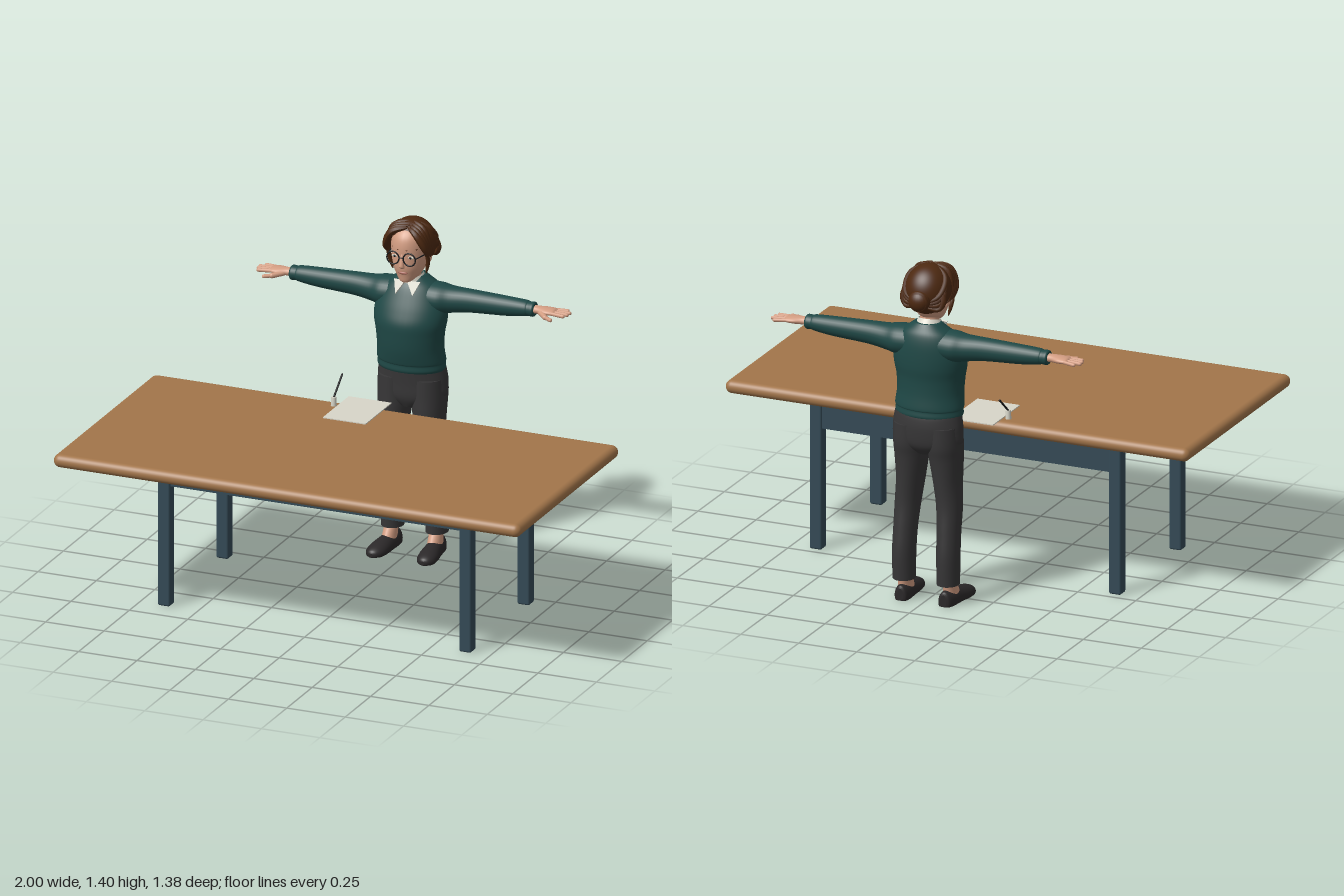
import * as THREE from 'three';
import { RoundedBoxGeometry } from 'three/addons/geometries/RoundedBoxGeometry.js';

const mat = (name, color) => {
  const m = new THREE.MeshStandardMaterial({ color, side: THREE.DoubleSide });
  m.name = name;
  return m;
};
const M = {
  wood: mat('wood', 0xa2754a), slate: mat('slate', 0x344a56), sweater: mat('sweater', 0x1f4846),
  trousers: mat('trousers', 0x373637), skin: mat('skin', 0xd39d82), hair: mat('hair', 0x4d2911),
  white: mat('offWhite', 0xd8d6c9), shoe: mat('shoeLeather', 0x2b2829), black: mat('black', 0x18191b),
  lips: mat('lips', 0xa9675a),
};

function add(group, name, geo, material, x = 0, y = 0, z = 0) {
  const m = new THREE.Mesh(geo, material);
  m.name = name;
  m.position.set(x, y, z);
  group.add(m);
  return m;
}

// Smooth skin through elliptical sections [t, centreA, centreB, radiusA, radiusB]
// along axis 0 = x (A y, B z), 1 = y (A z, B x) or 2 = z (A x, B y)
function loft(axis, sections, sides = 28, steps = 5) {
  const rings = [], last = sections.length - 1;
  for (let i = 0; i < last; i++) {
    const p = [i - 1, i, i + 1, i + 2].map(k => sections[Math.min(last, Math.max(0, k))]);
    for (let s = 0; s < steps; s++) {
      const u = s / steps;
      rings.push(p[1].map((b, k) => {
        const a = p[0][k], c = p[2][k], d = p[3][k];
        return b + 0.5 * u * (c - a + u * (2 * a - 5 * b + 4 * c - d + u * (3 * (b - c) + d - a)));
      }));
    }
  }
  rings.push(sections[last]);
  const pos = [], index = [], A = (axis + 1) % 3, B = (axis + 2) % 3;
  const flip = sections[last][0] < sections[0][0];
  const tri = (a, b, c) => (flip ? index.push(a, c, b) : index.push(a, b, c));
  const vertex = (t, a, b) => {
    const v = [];
    v[axis] = t; v[A] = a; v[B] = b;
    pos.push(...v);
  };
  const ring = ([t, a, b, ra, rb]) => {
    for (let j = 0; j < sides; j++) {
      const w = (j / sides) * Math.PI * 2;
      vertex(t, a + ra * Math.cos(w), b + rb * Math.sin(w));
    }
  };
  rings.forEach(ring);
  for (let i = 0; i < rings.length - 1; i++) for (let j = 0; j < sides; j++) {
    const a = i * sides + j, b = i * sides + (j + 1) % sides;
    tri(a, b, b + sides);
    tri(a, b + sides, a + sides);
  }
  // End caps with their own vertices, so that the rims stay sharp
  [rings[0], rings[rings.length - 1]].forEach((r, end) => {
    const base = pos.length / 3;
    ring(r);
    vertex(r[0], r[1], r[2]);
    for (let j = 0; j < sides; j++) {
      const a = base + j, b = base + (j + 1) % sides;
      end ? tri(a, b, base + sides) : tri(b, a, base + sides);
    }
  });
  const g = new THREE.BufferGeometry();
  g.setAttribute('position', new THREE.Float32BufferAttribute(pos, 3));
  g.setIndex(index);
  g.computeVertexNormals();
  return g;
}

const V = p => new THREE.Vector3(...p);
const ball = (rx, ry, rz) => new THREE.SphereGeometry(1, 24, 16).scale(rx, ry, rz);

// Round-ended rod between two points
function rod(group, name, from, to, r, material) {
  const a = V(from), b = V(to), d = b.clone().sub(a);
  const m = add(group, name, new THREE.CapsuleGeometry(r, d.length(), 4, 10), material);
  m.position.copy(a).add(b).multiplyScalar(0.5);
  m.quaternion.setFromUnitVectors(new THREE.Vector3(0, 1, 0), d.normalize());
}

// Lock of hair: a tube that tapers towards both ends
function strand(group, points, r) {
  const curve = new THREE.CatmullRomCurve3(points.map(V)), n = 16, k = 8;
  const g = new THREE.TubeGeometry(curve, n, r, k), p = g.attributes.position, v = new THREE.Vector3();
  for (let i = 0; i < p.count; i++) {
    const u = Math.floor(i / (k + 1)) / n, c = curve.getPointAt(u);
    v.fromBufferAttribute(p, i).sub(c).multiplyScalar(0.12 + 0.88 * Math.sin(Math.PI * u) ** 0.6).add(c);
    p.setXYZ(i, v.x, v.y, v.z);
  }
  g.computeVertexNormals();
  add(group, 'hairLock', g, M.hair);
}

function makeTable() {
  const g = new THREE.Group();
  g.name = 'table';
  add(g, 'tableTop', new RoundedBoxGeometry(2, 0.055, 1, 4, 0.0274), M.wood, 0, 0.6525, 0.19);
  for (const z of [0.38, -0.195]) {
    for (const x of [-0.645, 0.645])
      add(g, 'tableLeg', new RoundedBoxGeometry(0.052, 0.63, 0.052, 2, 0.008), M.slate, x, 0.315, z);
    add(g, 'rail', new THREE.BoxGeometry(1.25, 0.1, 0.036), M.slate, 0, 0.555, z);
  }
  add(g, 'paper', new THREE.BoxGeometry(0.183, 0.004, 0.255), M.white, -0.093, 0.684, -0.2325);
  add(g, 'penHolder', new THREE.CylinderGeometry(0.01, 0.012, 0.037, 16), M.white, -0.203, 0.698, -0.255);
  rod(g, 'pen', [-0.203, 0.714, -0.255], [-0.203, 0.783, -0.338], 0.004, M.black);
  return g;
}

function makeHead() {
  const g = new THREE.Group();
  g.name = 'head';
  add(g, 'face', loft(1, [[1.148, -0.495, 0, 0.012, 0.012], [1.156, -0.502, 0, 0.026, 0.028],
    [1.18, -0.53, 0, 0.06, 0.05], [1.21, -0.54, 0, 0.078, 0.064], [1.25, -0.55, 0, 0.09, 0.074],
    [1.3, -0.555, 0, 0.096, 0.077], [1.34, -0.56, 0, 0.09, 0.073], [1.37, -0.56, 0, 0.06, 0.05],
    [1.385, -0.56, 0, 0.01, 0.01]]), M.skin);
  add(g, 'nose', loft(1, [[1.214, -0.461, 0, 0.004, 0.005], [1.22, -0.458, 0, 0.01, 0.012],
    [1.23, -0.456, 0, 0.01, 0.01], [1.265, -0.461, 0, 0.006, 0.006], [1.28, -0.465, 0, 0.004, 0.005]], 14), M.skin);
  add(g, 'lips', ball(0.02, 0.006, 0.006), M.lips, 0, 1.194, -0.467);
  add(g, 'neck', loft(1, [[1.1, -0.565, 0, 0.048, 0.05], [1.16, -0.555, 0, 0.039, 0.039],
    [1.22, -0.552, 0, 0.04, 0.042]]), M.skin);

  // Hair shell, with its opening tilted down over the face
  const shell = new THREE.SphereGeometry(1, 36, 24, 0, Math.PI * 2, 0, 1.79);
  add(g, 'hairShell', shell.rotateX(-Math.PI / 4).scale(0.094, 0.104, 0.1), M.hair, 0, 1.292, -0.563);
  add(g, 'bun', ball(0.045, 0.044, 0.036), M.hair, 0, 1.269, -0.654);
  add(g, 'bunCoil', new THREE.TorusGeometry(0.03, 0.013, 10, 24), M.hair, 0, 1.269, -0.664);

  for (const s of [-1, 1]) {
    add(g, 'eyeWhite', ball(0.013, 0.006, 0.005), M.white, s * 0.034, 1.262, -0.468);
    add(g, 'iris', ball(0.005, 0.0055, 0.003), M.black, s * 0.034, 1.262, -0.4645);
    rod(g, 'eyebrow', [s * 0.017, 1.291, -0.463], [s * 0.052, 1.293, -0.486], 0.0028, M.hair);
    add(g, 'ear', ball(0.008, 0.023, 0.015), M.skin, s * 0.077, 1.245, -0.555);
    // Spectacles
    add(g, 'glassesRim', new THREE.TorusGeometry(0.026, 0.0028, 8, 28), M.black, s * 0.035, 1.259, -0.451);
    rod(g, 'glassesTemple', [s * 0.061, 1.265, -0.452], [s * 0.081, 1.265, -0.555], 0.0025, M.black);
    // Swept fringe, loose side lock and waves towards the bun
    for (let i = 0; i < 4; i++) {
      const d = i * 0.017;
      strand(g, [[0.012, 1.378 + i * 0.004, -0.492 - d], [s * (0.05 + i * 0.004), 1.358 + i * 0.002, -0.476 - d],
        [s * 0.083, 1.3 - i * 0.003, -0.49 - d], [s * 0.087, 1.25, -0.525 - d]], 0.015);
      strand(g, [[s * 0.03, 1.388 - i * 0.014, -0.55 - d], [s * (0.074 + i * 0.004), 1.35 - i * 0.025, -0.575 - d * 0.8],
        [s * 0.07, 1.29 - i * 0.018, -0.625], [s * 0.02, 1.26 - i * 0.005, -0.65]], 0.014);
    }
    strand(g, [[s * 0.08, 1.29, -0.5], [s * 0.083, 1.24, -0.525], [s * 0.071, 1.18, -0.535]], 0.009);
  }
  rod(g, 'glassesBridge', [-0.009, 1.264, -0.446], [0.009, 1.264, -0.446], 0.0025, M.black);
  return g;
}

function makePerson() {
  const g = new THREE.Group();
  g.name = 'person';
  add(g, 'sweaterBody', loft(1, [[0.775, -0.557, 0, 0.094, 0.136], [0.785, -0.557, 0, 0.098, 0.141],
    [0.805, -0.556, 0, 0.097, 0.139], [0.815, -0.555, 0, 0.101, 0.142], [0.87, -0.546, 0, 0.105, 0.137],
    [0.93, -0.543, 0, 0.108, 0.141], [0.98, -0.546, 0, 0.111, 0.15], [1.03, -0.555, 0, 0.103, 0.15],
    [1.08, -0.565, 0, 0.09, 0.135], [1.12, -0.571, 0, 0.075, 0.11], [1.145, -0.573, 0, 0.058, 0.075],
    [1.16, -0.573, 0, 0.047, 0.055]], 40), M.sweater);

  // Shirt collar
  const band = add(g, 'collarBand', new THREE.CylinderGeometry(0.044, 0.064, 0.045, 32, 1, true), M.white, 0, 1.146, -0.56);
  band.rotation.x = 0.22;
  const lapel = s => new THREE.Shape([[0.002, 0.03], [0.056, 0.034], [0.036, -0.026]]
    .map(([x, y]) => new THREE.Vector2(s * x, y)));

  add(g, 'hips', loft(1, [[0.62, -0.562, 0, 0.06, 0.05], [0.66, -0.568, 0, 0.083, 0.138],
    [0.72, -0.57, 0, 0.088, 0.147], [0.77, -0.567, 0, 0.088, 0.141], [0.8, -0.562, 0, 0.086, 0.135]], 36), M.trousers);

  for (const s of [-1, 1]) {
    const flap = add(g, 'collarPoint', new THREE.ExtrudeGeometry(lapel(s), { depth: 0.006, bevelEnabled: false }),
      M.white, 0, 1.122, -0.489);
    flap.rotation.set(-0.55, s * 0.2, 0);

    // Arm
    add(g, 'sleeve', loft(0, [[0.06, 1.075, -0.571, 0.06, 0.07], [0.12, 1.072, -0.571, 0.062, 0.071],
      [0.17, 1.073, -0.572, 0.054, 0.056], [0.25, 1.078, -0.572, 0.047, 0.045], [0.4, 1.08, -0.572, 0.04, 0.038],
      [0.48, 1.083, -0.572, 0.033, 0.034], [0.495, 1.083, -0.572, 0.029, 0.031], [0.515, 1.083, -0.572, 0.03, 0.032],
      [0.522, 1.083, -0.572, 0.026, 0.028]].map(([x, ...r]) => [s * x, ...r])), M.sweater);
    add(g, 'palm', loft(0, [[0.5, 1.084, -0.572, 0.018, 0.022], [0.535, 1.084, -0.572, 0.016, 0.022],
      [0.57, 1.084, -0.573, 0.015, 0.033], [0.6, 1.084, -0.575, 0.012, 0.033],
      [0.61, 1.084, -0.575, 0.006, 0.028]].map(([x, ...r]) => [s * x, ...r]), 20), M.skin);
    [0.645, 0.662, 0.66, 0.652].forEach((tip, i) =>
      rod(g, 'finger', [s * 0.598, 1.084, -0.6 + i * 0.017], [s * tip, 1.082, -0.61 + i * 0.022], 0.0075, M.skin));
    rod(g, 'thumb', [s * 0.55, 1.08, -0.556], [s * 0.585, 1.075, -0.524], 0.011, M.skin);
    rod(g, 'thumbTip', [s * 0.585, 1.075, -0.524], [s * 0.613, 1.073, -0.509], 0.008, M.skin);

    // Leg, ankle and shoe
    add(g, 'trouserLeg', loft(1, [[0.085, -0.588, 0.095, 0.052, 0.045], [0.2, -0.588, 0.095, 0.057, 0.046],
      [0.3, -0.578, 0.093, 0.058, 0.047], [0.4, -0.563, 0.089, 0.063, 0.051], [0.5, -0.557, 0.08, 0.073, 0.056],
      [0.6, -0.561, 0.074, 0.079, 0.067], [0.66, -0.567, 0.072, 0.084, 0.071],
      [0.74, -0.568, 0.07, 0.084, 0.07]].map(([y, z, x, ...r]) => [y, z, s * x, ...r])), M.trousers);
    add(g, 'ankle', loft(1, [[0.03, -0.56, s * 0.098, 0.05, 0.03], [0.06, -0.568, s * 0.097, 0.042, 0.028],
      [0.11, -0.588, s * 0.095, 0.032, 0.027]], 20), M.skin);
    const shoe = loft(2, [[-0.632, 0.093, 0.02, 0.012, 0.03], [-0.624, 0.094, 0.017, 0.026, 0.044],
      [-0.59, 0.096, 0.016, 0.034, 0.046], [-0.54, 0.1, 0.016, 0.036, 0.042], [-0.48, 0.106, 0.014, 0.041, 0.034],
      [-0.44, 0.109, 0.012, 0.037, 0.026], [-0.418, 0.11, 0.011, 0.022, 0.017],
      [-0.411, 0.11, 0.01, 0.006, 0.008]].map(([z, x, ...r]) => [z, s * x, ...r]), 24);
    const p = shoe.attributes.position;
    for (let i = 0; i < p.count; i++) p.setY(i, Math.max(0, p.getY(i)));
    shoe.computeVertexNormals();
    add(g, 'shoe', shoe, M.shoe);
  }
  g.add(makeHead());
  return g;
}

export function createModel() {
  const model = new THREE.Group();
  model.name = 'womanAtDesk';
  model.add(makeTable(), makePerson());
  return model;
}
